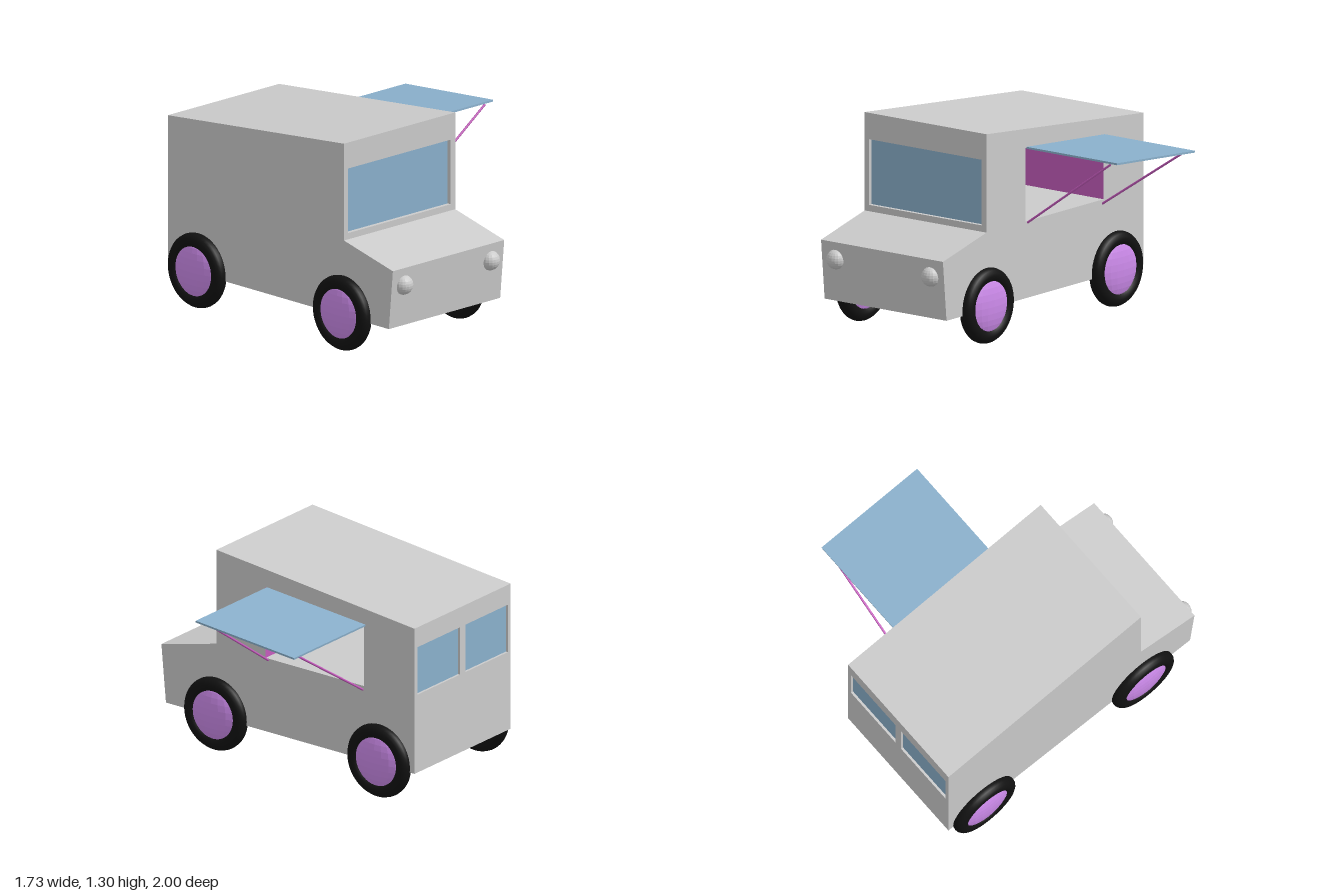
import * as THREE from 'three';

const LEFT = 0.155, RIGHT = -0.795; // body side planes
const material = (color, flatShading = false) =>
  new THREE.MeshStandardMaterial({ color, flatShading, side: THREE.DoubleSide });
const GREY = material(0xcccccc), FACETED = material(0xcccccc, true);
const BLUE = material(0x8ab0cc), PINK = material(0xc65cbe);
const HUB = material(0xcc8aea, true), TYRE = material(0x111111);

function add(parent, name, geometry, mat) {
  const mesh = new THREE.Mesh(geometry, mat);
  mesh.name = name;
  parent.add(mesh);
  return mesh;
}

// Flat four-cornered face, corners counter-clockwise
function quad(a, b, c, d) {
  const g = new THREE.BufferGeometry();
  g.setAttribute('position', new THREE.Float32BufferAttribute([...a, ...b, ...c, ...d], 3));
  g.setIndex([0, 1, 2, 0, 2, 3]);
  g.computeVertexNormals();
  return g;
}

// Flat outline with holes, placed in space by a (u, v) => [x, y, z] rule
function panel(outline, holes, place) {
  const toVec = ([u, v]) => new THREE.Vector2(u, v);
  const shape = new THREE.Shape(outline.map(toVec));
  holes.forEach(h => shape.holes.push(new THREE.Path(h.map(toVec))));
  const g = new THREE.ShapeGeometry(shape);
  const p = g.attributes.position;
  for (let i = 0; i < p.count; i++) p.setXYZ(i, ...place(p.getX(i), p.getY(i)));
  g.computeVertexNormals();
  return g;
}

// Four inner walls and a back face behind an opening; the first wall is the sill
function recess(parent, name, corners, offset, wallMats, backMat) {
  const group = new THREE.Group();
  group.name = name;
  const inner = corners.map(c => c.map((v, i) => v + offset[i]));
  corners.forEach((c, i) => {
    const j = (i + 1) % 4;
    add(group, i ? 'openingWall' : 'sill', quad(c, corners[j], inner[j], inner[i]), wallMats[i]);
  });
  add(group, 'backPanel', quad(...inner), backMat);
  parent.add(group);
}

const rect = (u0, u1, v0, v1) => [[u0, v0], [u1, v0], [u1, v1], [u0, v1]];

function createBody() {
  const body = new THREE.Group();
  body.name = 'body';
  // Side profile as [z, y], from the nose over the roof to the tail
  const profile = [[0.92, 0.21], [0.955, 0.585], [0.53, 0.69], [0.53, 1.305], [-1, 1.16], [-1, 0.21]];
  const names = ['nose', 'hood', 'cabFront', 'roof', 'rearWall', 'underside'];
  const hatch = [[-0.15, 0.69], [0.61, 0.69], [0.61, 1.09], [-0.15, 1.15]];
  const windshield = rect(-0.76, 0.115, 0.73, 1.14);
  const rearWindows = [rect(-0.127, 0.293, 0.72, 1.03), rect(0.347, 0.767, 0.72, 1.03)];

  const onLeft = (u, v) => [LEFT, v, -u];
  const onRight = (u, v) => [RIGHT, v, u];
  const onFront = (u, v) => [u, v, 0.53];
  const onRear = (u, v) => [-u, v, -1];

  add(body, 'leftSide', panel(profile.map(([z, y]) => [-z, y]), [hatch], onLeft), GREY);
  add(body, 'rightSide', panel(profile, [], onRight), GREY);
  profile.forEach(([z, y], i) => {
    const [z2, y2] = profile[(i + 1) % profile.length];
    let g;
    if (names[i] === 'cabFront') g = panel(rect(RIGHT, LEFT, y, y2), [windshield], onFront);
    else if (names[i] === 'rearWall') g = panel(rect(-LEFT, -RIGHT, y2, y), rearWindows, onRear);
    else g = quad([RIGHT, y, z], [LEFT, y, z], [LEFT, y2, z2], [RIGHT, y2, z2]);
    add(body, names[i], g, GREY);
  });

  // Glazing and the serving bay
  const frame = [GREY, GREY, GREY, GREY];
  recess(body, 'windshield', windshield.map(c => onFront(...c)), [0, 0, -0.025], frame, BLUE);
  rearWindows.forEach(w =>
    recess(body, 'rearWindow', w.map(c => onRear(...c)), [0, 0, 0.015], frame, BLUE));
  recess(body, 'servingBay', hatch.map(c => onLeft(...c)), [-0.85, 0, 0], [GREY, PINK, PINK, PINK], PINK);
  return body;
}

function createWheel() {
  const wheel = new THREE.Group();
  wheel.name = 'wheel';
  add(wheel, 'tyre', new THREE.TorusGeometry(0.188, 0.047, 16, 48).rotateY(Math.PI / 2), TYRE);
  const hub = new THREE.SphereGeometry(0.188, 20, 14).scale(1, 1, 0.32).rotateY(Math.PI / 2);
  add(wheel, 'hub', hub, HUB);
  return wheel;
}

function createAwning() {
  const awning = new THREE.Group();
  awning.name = 'awning';
  // Sloping flap hinged along the top of the hatch
  const flap = add(awning, 'flap', new THREE.BoxGeometry(0.705, 0.012, 0.762), BLUE);
  flap.position.set(0.507, 1.119, -0.24);
  flap.rotation.x = -Math.atan2(0.06, 0.76);
  // Support struts
  [[0.13, 0.68, 1.135], [-0.6, 0.665, 1.085]].forEach(([z, y0, y1]) => {
    const path = new THREE.LineCurve3(new THREE.Vector3(LEFT, y0, z), new THREE.Vector3(0.8, y1, z));
    add(awning, 'strut', new THREE.TubeGeometry(path, 1, 0.007, 8), PINK);
  });
  return awning;
}

export function createModel() {
  const model = new THREE.Group();
  model.name = 'servingVan';
  model.add(createBody(), createAwning());

  for (const x of [0.158, -0.81]) {
    for (const z of [0.53, -0.73]) {
      const wheel = createWheel();
      wheel.position.set(x, 0.235, z);
      model.add(wheel);
    }
  }
  for (const x of [-0.69, 0.05]) {
    const lamp = add(model, 'headlight', new THREE.SphereGeometry(0.062, 18, 12), FACETED);
    lamp.position.set(x, 0.475, 0.938);
  }
  return model;
}
